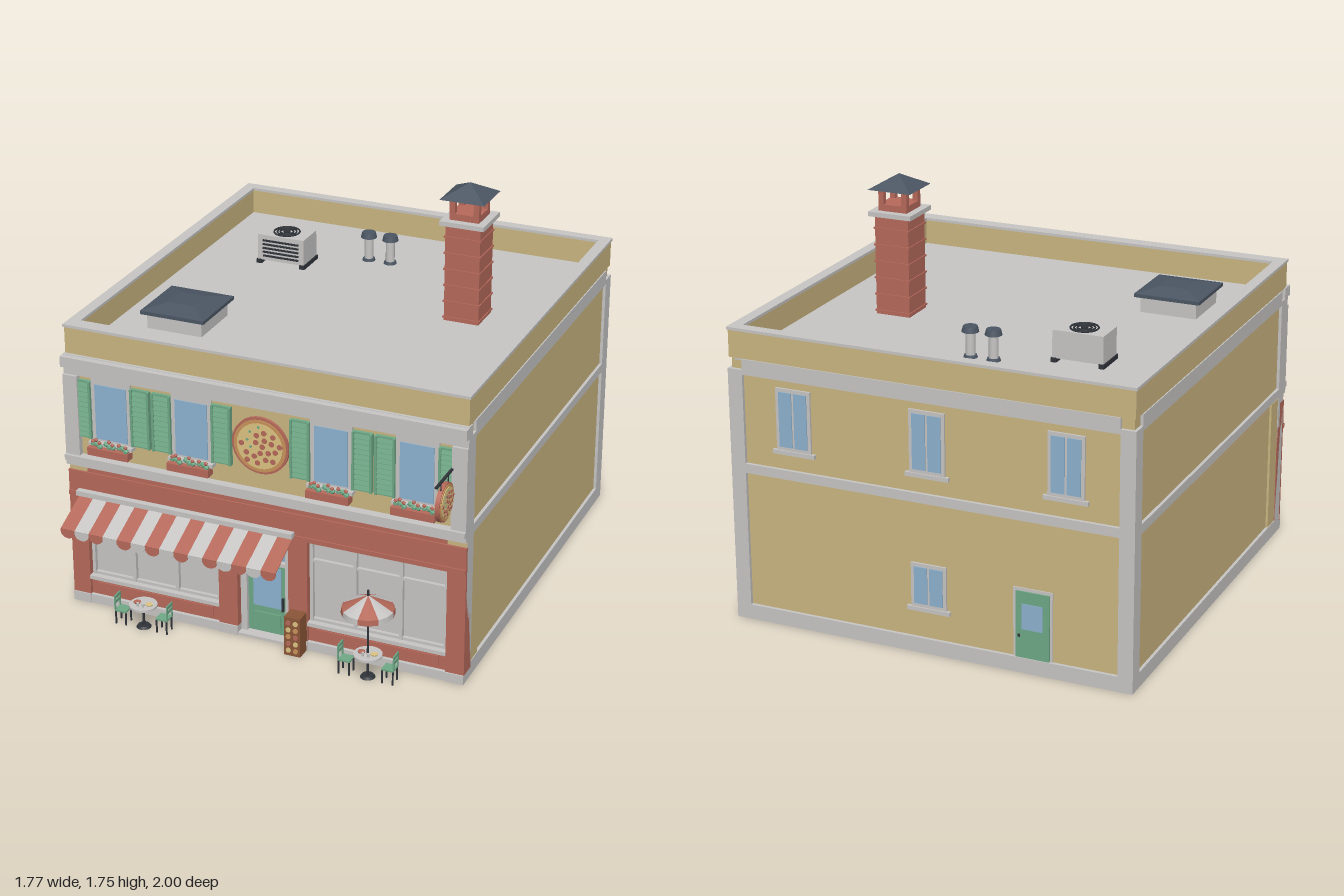
import * as THREE from 'three';

const mat = (name, color, side = THREE.FrontSide) => {
  const m = new THREE.MeshStandardMaterial({ color, side });
  m.name = name;
  return m;
};

export function createModel() {
  const root = new THREE.Group();
  root.name = 'restaurantBuilding';
  const D = THREE.DoubleSide;
  const brick = mat('brick red', 0xb5695a, D), sand = mat('sand wall', 0xcab581), stone = mat('pale stone', 0xc6c5c4, D),
    glass = mat('blue glass', 0x8db2cf), green = mat('painted green', 0x6fa886), slate = mat('dark slate', 0x4b5663),
    brown = mat('wood brown', 0x8a5638), crust = mat('crust', 0xc9925a), cheese = mat('cheese', 0xdcc382), iron = mat('black iron', 0x30343a);

  const add = (name, geo, m, x = 0, y = 0, z = 0, parent = root) => {
    const mesh = new THREE.Mesh(geo, m);
    mesh.name = name;
    mesh.position.set(x, y, z);
    parent.add(mesh);
    return mesh;
  };
  // box given by its limits
  const box = (name, m, x0, x1, y0, y1, z0, z1, parent = root) =>
    add(name, new THREE.BoxGeometry(x1 - x0, y1 - y0, z1 - z0), m, (x0 + x1) / 2, (y0 + y1) / 2, (z0 + z1) / 2, parent);
  const cyl = (name, m, r0, r1, y0, y1, x, z, parent = root, n = 16) =>
    add(name, new THREE.CylinderGeometry(r1, r0, y1 - y0, n), m, x, (y0 + y1) / 2, z, parent);
  const group = (name, x = 0, y = 0, z = 0) => {
    const g = new THREE.Group();
    g.name = name;
    g.position.set(x, y, z);
    root.add(g);
    return g;
  };
  const W = 0.885, F = 0.79, B = -1;

  // Shell: open underneath, side and rear walls with stone bands and posts
  for (const s of [-1, 1]) {
    const side = (name, m, d0, d1, y0, y1, z0, z1) => box(name, m, Math.min(s * d0, s * d1), Math.max(s * d0, s * d1), y0, y1, z0, z1);
    side('sideWall', sand, 0.86, 0.872, 0, 1.15, -0.985, 0.775);
    side('sideReturn', sand, 0.86, 0.882, 0.065, 0.65, 0.635, 0.72);
    side('rearPost', stone, 0.82, W, 0, 1.1, B, -0.93);
    side('frontPost', stone, 0.862, W, 0, 1.1, 0.72, F - 0.005);
    side('upperCornerPost', stone, 0.82, W, 0.7, 1.06, 0.77, 0.81);
    side('cornerWall', sand, 0.8, W - 0.002, 0.62, 0.65, 0.74, 0.788);
    for (const [y0, y1] of [[0, 0.065], [0.655, 0.695], [1.08, 1.147]])
      side('sideBand', stone, 0.862, W, y0, y1, -0.93, 0.72);
    side('parapet', sand, 0.84, 0.88, 1.147, 1.265, B + 0.005, F - 0.005);
    side('parapetCap', stone, 0.835, W, 1.263, 1.275, B, F);
  }
  box('rearWall', sand, -0.87, 0.87, 0, 1.15, -0.985, -0.975);
  for (const [y0, y1] of [[0, 0.065], [0.655, 0.695], [1.08, 1.147]])
    box('rearBand', stone, -0.82, 0.82, y0, y1, B, -0.976);
  for (const [z0, z1] of [[B, -0.95], [0.725, F]]) {
    box('parapet', sand, -0.88, 0.88, 1.147, 1.265, z0 + 0.005, z1 - 0.005);
    box('parapetCap', stone, -0.835, 0.835, 1.263, 1.275, z0, z1);
  }
  box('roof', stone, -0.86, 0.86, 1.135, 1.153, -0.985, 0.775);

  // Upper front wall and cornices
  add('upperFrontWall', new THREE.PlaneGeometry(1.68, 0.4), sand, 0, 0.88, 0.785);
  box('upperFrieze', stone, -W, W, 1.06, 1.148, 0.76, 0.798);
  box('upperCornice', stone, -W, W, 1.1, 1.146, F, 0.826);
  box('middleCornice', stone, -W, W, 0.65, 0.675, 0.76, 0.81);
  box('middleCorniceTop', stone, -W, W, 0.675, 0.7, 0.76, 0.824);
  box('corniceBack', brick, -0.8, 0.8, 0.62, 0.65, 0.74, F);

  // Upper windows with louvred shutters and flower boxes
  for (const x of [-0.672, -0.307, 0.307, 0.672]) {
    const g = group('upperWindow', x, 0, 0);
    box('windowFrame', stone, -0.09, 0.09, 0.77, 1.06, 0.78, 0.797, g);
    box('windowGlass', glass, -0.072, 0.072, 0.79, 1.035, 0.776, 0.801, g);
    box('windowSill', stone, -0.1, 0.1, 0.765, 0.78, 0.785, 0.82, g);
    for (const s of [-1, 1]) {
      const c = s * 0.134;
      box('shutter', green, c - 0.043, c + 0.043, 0.785, 1.043, 0.784, 0.8, g);
      for (const e of [-1, 1])
        box('shutterStile', green, c + e * 0.038 - 0.005, c + e * 0.038 + 0.005, 0.785, 1.043, 0.8, 0.808, g);
      for (let i = 0; i < 11; i++) {
        const slat = box('shutterSlat', green, c - 0.033, c + 0.033, 0.792 + i * 0.0225, 0.811 + i * 0.0225, 0.799, 0.803, g);
        slat.rotation.x = -0.35;
      }
    }
    box('flowerBox', brick, -0.093, 0.093, 0.732, 0.766, 0.8, 0.845, g);
    for (let i = 0; i < 9; i++) {
      const fx = -0.08 + i * 0.02, fz = 0.823 + (i % 3 - 1) * 0.009;
      add('leaves', new THREE.IcosahedronGeometry(0.013, 0), green, fx, 0.772 + (i % 2) * 0.006, fz, g);
      if (i % 4 !== 3) add('flower', new THREE.IcosahedronGeometry(0.009, 0), brick, fx, 0.785 + (i * 5 % 3) * 0.006, fz + 0.004, g);
    }
  }

  // Round pizza plates facing +z
  const disc = (name, m, r, x, y, z, t, parent, n = 32) => {
    const d = add(name, new THREE.CylinderGeometry(r, r, t, n), m, x, y, z, parent);
    d.rotation.x = Math.PI / 2;
  };
  const pizza = (parent, r, z) => {
    const g = new THREE.Group();
    g.name = 'pizzaFace';
    parent.add(g);
    disc('pizzaRim', brick, r, 0, 0, z, 0.012, g);
    disc('pizzaCrust', crust, r * 0.92, 0, 0, z + 0.005, 0.008, g);
    disc('pizzaCheese', cheese, r * 0.8, 0, 0, z + 0.008, 0.007, g);
    for (let i = 0; i < 22; i++) {
      const a = i * 2.4, q = r * 0.72 * Math.sqrt((i + 0.4) / 22);
      disc('topping', i % 5 === 4 ? green : brick, r * (i % 5 === 4 ? 0.045 : 0.095), q * Math.cos(a), q * Math.sin(a), z + 0.012, 0.004, g, 10);
    }
    return g;
  };
  pizza(group('wallPizzaSign', 0, 0.9, 0.795), 0.125, 0);
  const blade = group('hangingPizzaSign', 0.822, 0.86, 0.89);
  blade.rotation.y = Math.PI / 2;
  pizza(blade, 0.08, 0.003);
  pizza(blade, 0.08, 0.003).rotation.y = Math.PI;
  box('signBracket', iron, 0.817, 0.827, 0.96, 0.968, F, 0.985);
  for (const z of [0.85, 0.93]) box('signHanger', iron, 0.82, 0.824, 0.92, 0.962, z - 0.002, z + 0.002);

  // Shop front
  box('shopFascia', brick, -W, W, 0.525, 0.62, 0.745, 0.797);
  box('shopFasciaLedge', brick, -W, W, 0.505, 0.525, 0.745, 0.803);
  for (const [x0, x1] of [[-W, -0.805], [-0.2, -0.115], [0.115, 0.2], [0.805, W]]) {
    box('pilaster', brick, x0, x1, 0.04, 0.51, 0.72, 0.797);
    box('pilasterBase', stone, x0, x1, 0, 0.042, 0.72, 0.803);
  }
  for (const s of [-1, 1]) {
    const g = group('shopWindow', s * 0.5025);
    box('plinth', stone, -0.3025, 0.3025, 0, 0.04, 0.74, 0.798, g);
    box('stallRiser', brick, -0.3025, 0.3025, 0.04, 0.115, 0.745, 0.782, g);
    box('stallRiserPanel', brick, -0.27, 0.27, 0.055, 0.1, 0.782, 0.788, g);
    box('shopSill', stone, -0.3025, 0.3025, 0.115, 0.132, 0.745, 0.8, g);
    box('shopPane', stone, -0.3025, 0.3025, 0.132, 0.505, 0.75, 0.758, g);
    for (const x of [-0.293, -0.1, 0.1, 0.293]) box('mullion', stone, x - 0.007, x + 0.007, 0.132, 0.505, 0.758, 0.776, g);
    for (const y of [0.138, 0.412, 0.494]) box('transomBar', stone, -0.3, 0.3, y - 0.006, y + 0.006, 0.758, 0.774, g);
  }

  // Front entrance
  const door = group('frontDoor');
  box('doorStep', stone, -0.115, 0.115, 0, 0.012, 0.72, 0.798, door);
  box('doorHead', brick, -0.115, 0.115, 0.44, 0.51, 0.72, 0.785, door);
  for (const s of [-1, 1]) box('doorJamb', stone, s * 0.101 - 0.014, s * 0.101 + 0.014, 0.01, 0.44, 0.725, 0.765, door);
  box('doorLintel', stone, -0.088, 0.088, 0.342, 0.358, 0.725, 0.765, door);
  box('doorTransomGlass', glass, -0.088, 0.088, 0.358, 0.44, 0.735, 0.743, door);
  box('doorLeaf', green, -0.088, 0.088, 0.012, 0.342, 0.73, 0.748, door);
  box('doorGlass', glass, -0.063, 0.063, 0.135, 0.322, 0.746, 0.753, door);
  box('doorPanel', green, -0.06, 0.06, 0.03, 0.105, 0.748, 0.754, door);
  box('doorHandle', iron, 0.068, 0.076, 0.13, 0.19, 0.748, 0.762, door);

  // Striped awning with scalloped valance
  const awning = group('awning'), sw = 0.065, slope = Math.atan2(0.08, 0.185);
  box('awningHousing', stone, -0.84, 0.145, 0.518, 0.54, F, 0.825, awning);
  const scallop = new THREE.Shape();
  scallop.moveTo(-sw / 2, 0);
  scallop.lineTo(-sw / 2, -0.012);
  scallop.absellipse(0, -0.012, sw / 2, 0.028, Math.PI, Math.PI * 2, false);
  scallop.lineTo(sw / 2, 0);
  const flap = new THREE.ExtrudeGeometry(scallop, { depth: 0.004, bevelEnabled: false, curveSegments: 10 });
  for (let i = 0; i < 15; i++) {
    const m = i % 2 ? stone : brick, x = -0.835 + sw * (i + 0.5);
    const strip = add('awningStripe', new THREE.BoxGeometry(sw, 0.004, 0.202), m, x, 0.475, 0.881, awning);
    strip.rotation.x = slope;
    add('awningFlap', flap, m, x, 0.437, 0.97, awning);
  }

  // Menu board
  box('menuBoard', brown, 0.125, 0.197, 0, 0.178, 0.795, 0.865);
  for (let i = 0; i < 10; i++)
    disc('menuDish', [cheese, crust, brick][i % 3], 0.011, 0.145 + (i % 2) * 0.032, 0.025 + Math.floor(i / 2) * 0.032, 0.867, 0.005, root, 10);

  // Cafe tables and chairs
  for (const x of [-0.507, 0.507]) {
    const g = group('cafeTable', x, 0, 0.89);
    cyl('tableTop', stone, 0.06, 0.06, 0.098, 0.108, 0, 0, g, 20);
    cyl('tablePost', iron, 0.006, 0.006, 0.008, 0.1, 0, 0, g, 8);
    cyl('tableFoot', iron, 0.032, 0.025, 0, 0.01, 0, 0, g, 16);
    for (const s of [-1, 1]) {
      cyl('plate', s < 0 ? brick : cheese, 0.014, 0.016, 0.108, 0.113, s * 0.028, 0, g, 12);
      cyl('cup', stone, 0.005, 0.006, 0.108, 0.124, s * 0.012, 0.025, g, 8);
      const c = s * 0.095;
      box('chairSeat', green, c - 0.026, c + 0.026, 0.06, 0.067, -0.026, 0.026, g);
      for (const a of [-1, 1]) {
        for (const b of [-1, 1]) box('chairLeg', iron, c + a * 0.023 - 0.003, c + a * 0.023 + 0.003, 0, 0.061, b * 0.023 - 0.003, b * 0.023 + 0.003, g);
        box('chairBackPost', green, s * 0.121 - 0.003, s * 0.121 + 0.003, 0.065, 0.132, a * 0.022 - 0.003, a * 0.022 + 0.003, g);
      }
      for (const y of [0.095, 0.118]) box('chairBackRail', green, s * 0.121 - 0.003, s * 0.121 + 0.003, y, y + 0.014, -0.024, 0.024, g);
    }
  }
  // Parasol with eight gores
  const parasol = group('parasol', 0.507, 0, 0.89);
  cyl('parasolPole', iron, 0.005, 0.005, 0.1, 0.4, 0, 0, parasol, 8);
  for (let i = 0; i < 8; i++) {
    const m = i % 2 ? stone : brick, a = i * Math.PI / 4;
    add('parasolGore', new THREE.CylinderGeometry(0.004, 0.108, 0.055, 2, 1, true, a, Math.PI / 4), m, 0, 0.348, 0, parasol);
    add('parasolFlap', new THREE.CylinderGeometry(0.108, 0.11, 0.024, 2, 1, true, a, Math.PI / 4), m, 0, 0.309, 0, parasol);
  }

  // Rear windows and door
  const rearWindow = (x, y0, y1) => {
    const g = group('rearWindow', x);
    box('rearFrame', stone, -0.078, 0.078, y0, y1, -0.994, -0.982, g);
    for (const s of [-1, 1]) box('rearGlass', glass, s * 0.034 - 0.029, s * 0.034 + 0.029, y0 + 0.015, y1 - 0.015, -0.998, -0.99, g);
    box('rearSill', stone, -0.095, 0.095, y0 - 0.018, y0, -1, -0.982, g);
  };
  for (const x of [-0.595, 0, 0.595]) rearWindow(x, 0.78, 1.045);
  rearWindow(0, 0.2, 0.39);
  const back = group('rearDoor', -0.455);
  box('rearDoorFrame', stone, -0.085, 0.085, 0.03, 0.365, -0.99, -0.98, back);
  box('rearDoorLeaf', green, -0.073, 0.073, 0.03, 0.352, -0.996, -0.985, back);
  box('rearDoorGlass', glass, -0.045, 0.045, 0.19, 0.3, -0.999, -0.993, back);
  box('rearDoorKnob', iron, 0.052, 0.062, 0.155, 0.168, -1, -0.99, back);

  // Square pyramid used on chimney and hatch
  const pyramid = (name, m, half, y0, y1, x, z, topHalf = 0) => {
    const p = cyl(name, m, half * Math.SQRT2, topHalf * Math.SQRT2, y0, y1, x, z, root, 4);
    p.geometry.rotateY(Math.PI / 4);
    p.geometry = p.geometry.toNonIndexed();
    p.geometry.computeVertexNormals();
  };
  // Chimney
  const cx = 0.503, cz = -0.2;
  const square = (name, m, h, y0, y1) => box(name, m, cx - h, cx + h, y0, y1, cz - h, cz + h);
  square('chimneyShaft', brick, 0.077, 1.15, 1.585);
  for (let i = 0; i < 6; i++) square('chimneyCourse', brick, 0.082, 1.165 + i * 0.072, 1.172 + i * 0.072);
  square('chimneySlab', stone, 0.098, 1.582, 1.602);
  square('chimneyCollar', brick, 0.065, 1.602, 1.63);
  for (const a of [-1, 1]) for (const b of [-1, 1])
    box('chimneyPost', brick, cx + a * 0.053 - 0.012, cx + a * 0.053 + 0.012, 1.63, 1.7, cz + b * 0.053 - 0.012, cz + b * 0.053 + 0.012);
  pyramid('chimneyRoof', slate, 0.098, 1.695, 1.753, cx, cz);

  // Roof hatch, vent pipes and cooling unit
  box('hatchCurb', stone, -0.68, -0.43, 1.15, 1.225, 0.19, 0.44);
  box('hatchLid', slate, -0.7, -0.408, 1.222, 1.237, 0.17, 0.465);
  pyramid('hatchTop', slate, 0.143, 1.237, 1.257, -0.554, 0.317, 0.06);
  for (const x of [-0.12, -0.018]) {
    cyl('ventPipe', stone, 0.02, 0.02, 1.15, 1.27, x, -0.62);
    cyl('ventFlange', slate, 0.03, 0.026, 1.15, 1.165, x, -0.62);
    cyl('ventCap', slate, 0.036, 0.03, 1.262, 1.286, x, -0.62);
  }
  box('coolingUnit', stone, -0.56, -0.34, 1.17, 1.288, -0.54, -0.4);
  for (const x of [-0.553, -0.347]) box('coolingFoot', iron, x - 0.012, x + 0.012, 1.15, 1.172, -0.545, -0.395);
  for (let i = 0; i < 5; i++) box('coolingLouvre', iron, -0.535, -0.365, 1.187 + i * 0.018, 1.195 + i * 0.018, -0.402, -0.395);
  cyl('fanHub', iron, 0.015, 0.015, 1.286, 1.296, -0.45, -0.47);
  for (const r of [0.029, 0.043, 0.057]) {
    const ring = add('fanRing', new THREE.TorusGeometry(r, 0.004, 6, 28), iron, -0.45, 1.291, -0.47);
    ring.rotation.x = Math.PI / 2;
  }
  return root;
}
